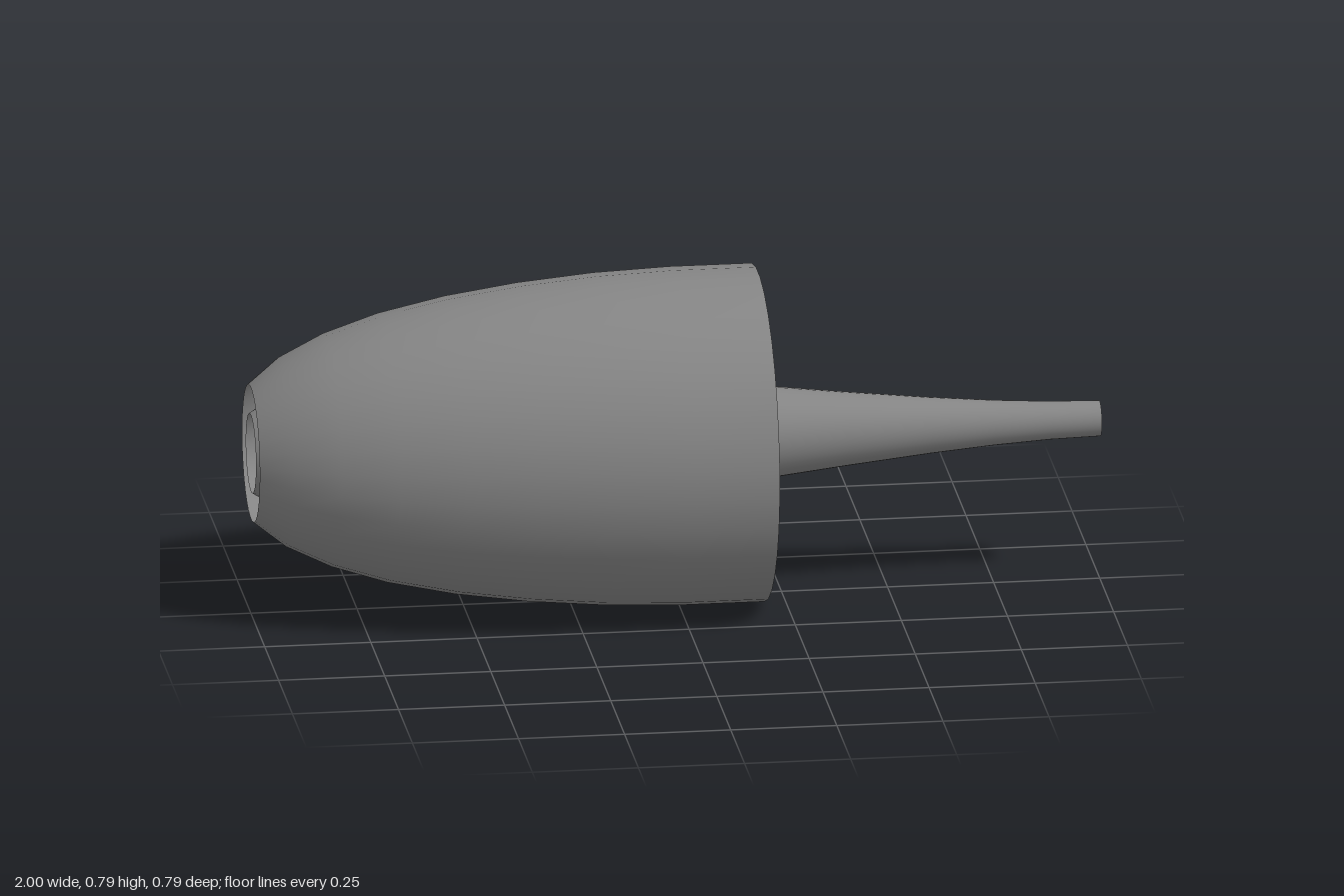
import * as THREE from 'three';

const SIDES = 32;
const AXIS_HEIGHT = 0.395;

// Thin open shell revolved around the x axis; profile is [x, radius] pairs
function revolved(name, profile) {
  const geometry = new THREE.LatheGeometry(
    profile.map(([x, r]) => new THREE.Vector2(r, x)),
    SIDES, Math.PI / SIDES, Math.PI * 2
  );
  geometry.rotateZ(-Math.PI / 2);
  const mesh = new THREE.Mesh(
    geometry,
    new THREE.MeshStandardMaterial({ color: 0x858585, side: THREE.DoubleSide })
  );
  mesh.name = name;
  mesh.position.y = AXIS_HEIGHT;
  return mesh;
}

export function createModel() {
  const model = new THREE.Group();
  model.name = 'ductedNacelle';

  // Outer cowling: rounded at the intake, straight at the rear rim
  model.add(revolved('cowling', [
    [-1, 0.162], [-0.925, 0.222], [-0.82, 0.273], [-0.69, 0.315], [-0.53, 0.349],
    [-0.36, 0.373], [-0.18, 0.389], [0, 0.396], [0.195, 0.396],
  ]));

  // Inner core: open hollow body, swelling inside the cowling and tapering to a tailpipe
  model.add(revolved('core', [
    [-1, 0.094], [-0.95, 0.125], [-0.87, 0.16], [-0.77, 0.186], [-0.62, 0.2],
    [-0.5, 0.196], [-0.4, 0.187], [-0.2, 0.161], [0, 0.135], [0.2, 0.11],
    [0.4, 0.087], [0.6, 0.066], [0.75, 0.053], [0.88, 0.045], [1, 0.042],
  ]));

  return model;
}
